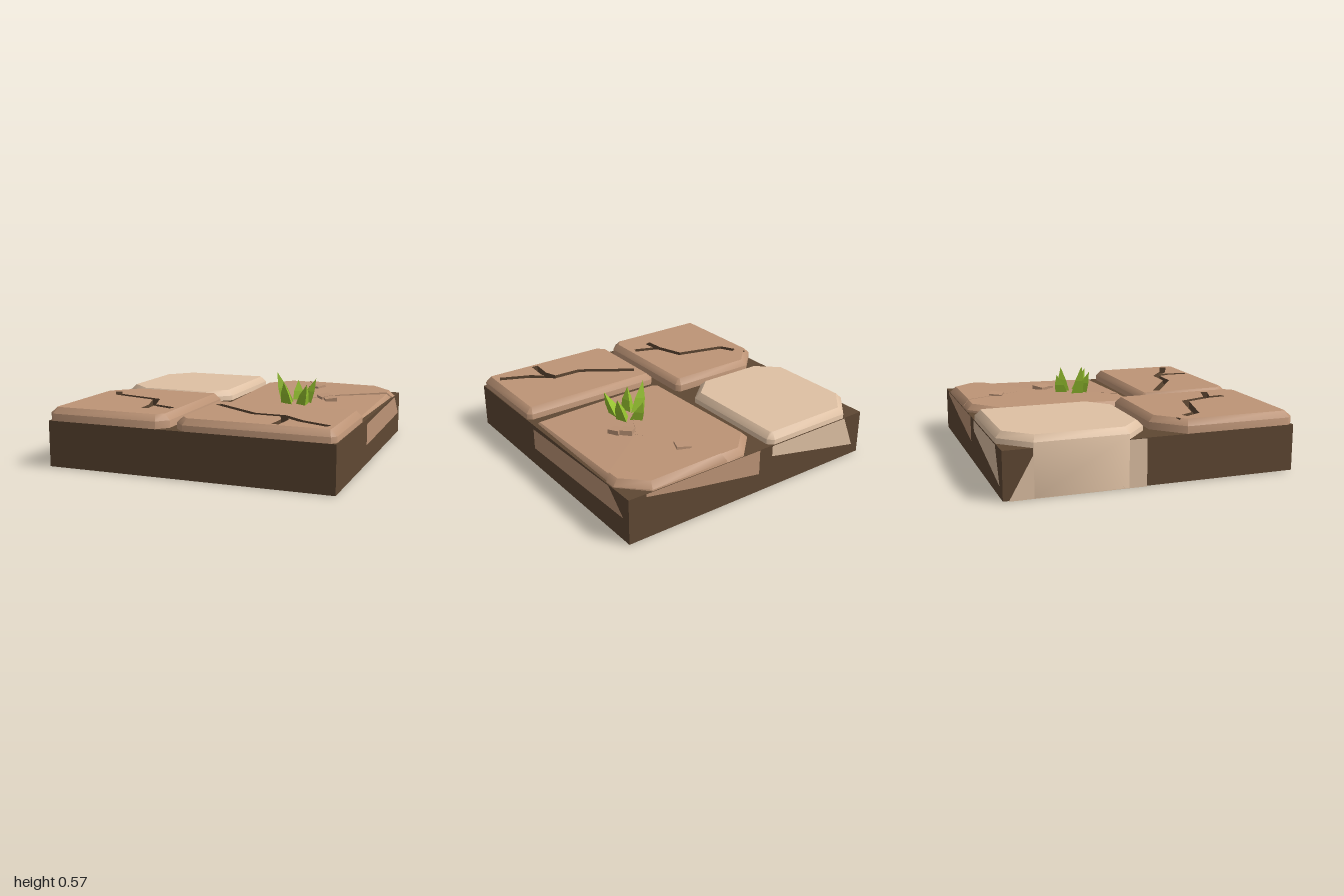
import * as THREE from 'three';
import { mergeGeometries, toCreasedNormals } from 'three/addons/utils/BufferGeometryUtils.js';

const mat = (name, color) => Object.assign(new THREE.MeshStandardMaterial({ color }), { name });

// Flat-shaded geometry from a list of triangle corners
function facets(corners) {
  const g = new THREE.BufferGeometry().setFromPoints(corners);
  g.computeVertexNormals();
  return g;
}
const quad = (a, b, c, d) => [a, b, c, a, c, d];

// Where two lines (point + direction) meet
function meet(p, d, q, e) {
  const t = ((q.x - p.x) * e.y - (q.y - p.y) * e.x) / (d.x * e.y - d.y * e.x);
  return new THREE.Vector2(p.x + d.x * t, p.y + d.y * t);
}
const leftOf = (d) => new THREE.Vector2(-d.y, d.x).normalize();
const plan = (x, z) => new THREE.Vector2(x, -z);

// Moves each edge of a counter-clockwise outline inwards by its own amount
function inset(pts, amounts) {
  const n = pts.length;
  return pts.map((p, i) => {
    const before = (i + n - 1) % n;
    const d = p.clone().sub(pts[before]);
    const e = pts[(i + 1) % n].clone().sub(p);
    return meet(p.clone().addScaledVector(leftOf(d), amounts[before]), d,
      p.clone().addScaledVector(leftOf(e), amounts[i]), e);
  });
}

// Outline of a crack, found by walking along every branch and back
function crackOutline(walk, half) {
  const n = walk.length, out = [];
  walk.forEach((p, i) => {
    const prev = walk[(i + n - 1) % n], next = walk[(i + 1) % n];
    const d = p.clone().sub(prev), e = next.clone().sub(p);
    const a = p.clone().addScaledVector(leftOf(d), -half);
    const b = p.clone().addScaledVector(leftOf(e), -half);
    if (prev.distanceTo(next) < 1e-6 || Math.abs(d.cross(e)) < 1e-4) out.push(a, b);
    else out.push(meet(a, d, b, e));
  });
  return out;
}

// Stone with a soft bevel and flat top: points are [x, z, edge bevel]; topY gives the height
function stone(points, topY, bottom, hole = null) {
  const n = points.length;
  const bevels = points.map((p) => p[2] ?? 0.04);
  const outer = points.map(([x, z]) => plan(x, z));
  const inner = inset(outer, bevels);
  const at = (p, y) => new THREE.Vector3(p.x, y, -p.y);
  const top = (p) => at(p, topY(p.x, -p.y));
  const edge = (i) => {
    const drop = Math.max(bevels[i], bevels[(i + n - 1) % n]) > 0 ? 0.04 : 0;
    return at(outer[i], topY(outer[i].x, -outer[i].y) - drop);
  };
  const sides = [], lid = [];
  outer.forEach((p, i) => {
    const j = (i + 1) % n;
    sides.push(...quad(at(p, bottom), at(outer[j], bottom), edge(j), edge(i)));
    sides.push(...quad(edge(i), edge(j), top(inner[j]), top(inner[i])));
  });
  const all = hole ? inner.concat(hole) : inner;
  for (const f of THREE.ShapeUtils.triangulateShape(inner, hole ? [hole] : [])) lid.push(...f.map((k) => top(all[k])));
  return mergeGeometries([toCreasedNormals(facets(sides), 0.9), facets(lid)]);
}

// Walls and floor of a crack
function groove(outline, y, depth) {
  const at = (p, h) => new THREE.Vector3(p.x, h, -p.y);
  const c = [];
  outline.forEach((p, i) => {
    const q = outline[(i + 1) % outline.length];
    c.push(...quad(at(q, y - depth), at(p, y - depth), at(p, y), at(q, y)));
  });
  for (const f of THREE.ShapeUtils.triangulateShape(outline, [])) c.push(...f.map((k) => at(outline[k], y - depth)));
  return facets(c);
}

// Flat face from a few corners
function plate(pts) {
  const v = pts.map((p) => new THREE.Vector3(...p)), c = [];
  for (let i = 1; i < v.length - 1; i++) c.push(v[0], v[i], v[i + 1]);
  return facets(c);
}

export function createModel() {
  const group = new THREE.Group();
  const earth = mat('dark earth', 0x5f4833);
  const brown = mat('brown stone', 0xbd9476);
  const pale = mat('pale stone', 0xdfc1a4);
  const green = mat('grass green', 0x96c22f);
  const add = (name, geometry, material) => {
    const m = new THREE.Mesh(geometry, material);
    m.name = name;
    group.add(m);
    return m;
  };

  // Earth block
  add('base', new THREE.BoxGeometry(1.992, 0.317, 1.992).translate(0, 0.1615, 0), earth);

  // Pale stone at the back, reaching down the side of the block
  add('paleStone', stone([[-1, -0.18], [-0.82, -0.02], [-0.31, -0.02], [-0.13, -0.18], [-0.13, -0.96],
    [-0.17, -0.995], [-0.82, -0.995], [-1, -0.8]], () => 0.395, 0.003), pale);

  // Two cracked stones at the front
  const cracked = [
    { name: 'frontLeftStone', y: 0.41,
      outline: [[-0.995, 0.96], [-0.96, 0.995], [-0.2, 0.995], [-0.13, 0.92], [-0.13, 0.06], [-0.16, 0.03], [-0.8, 0.03], [-0.995, 0.22]],
      trunk: [[-0.865, 0.255], [-0.81, 0.36], [-0.46, 0.45], [-0.39, 0.65]],
      branches: [[[-0.38, 0.8], [-0.415, 0.95]], [[-0.21, 0.715]]] },
    { name: 'frontRightStone', y: 0.4,
      outline: [[-0.08, 0.92], [-0.01, 0.995], [0.96, 0.995], [0.99, 0.96], [0.99, 0.3], [0.96, 0.27], [-0.05, 0.27], [-0.08, 0.3]],
      trunk: [[0, 0.42], [0.35, 0.655], [0.56, 0.66]],
      branches: [[[0.6, 0.77], [0.59, 0.93]], [[0.71, 0.78], [0.915, 0.87]]] },
  ];
  for (const s of cracked) {
    const fork = s.trunk.at(-1);
    const walk = [...s.trunk];
    for (const b of s.branches) walk.push(...b, ...b.slice(0, -1).reverse(), fork);
    walk.push(...s.trunk.slice(1, -1).reverse());
    const outline = crackOutline(walk.map((p) => plan(...p)), 0.024);
    add(s.name, stone(s.outline, () => s.y, 0.2, outline), brown);
    add(s.name + 'Crack', groove(outline, s.y, 0.05), earth);
  }
  // Crack end running out over the bevelled corner
  const crackEnd = add('crackEnd', new THREE.BoxGeometry(0.048, 0.035, 0.09), earth);
  crackEnd.position.set(-0.885, 0.392, 0.222);
  crackEnd.rotation.y = 0.48;

  // Sunken slab broken in three; edges with a zero lie along the breaks
  add('slabLeftPiece', stone([[-0.08, 0.18], [-0.06, 0.2, 0.012], [0.2, 0.2, 0], [0.54, -0.4, 0], [0.24, -0.995],
    [0.1, -0.995], [-0.08, -0.82]], (x, z) => 0.355 - 0.02 * z, 0.15), brown);
  add('slabRightPiece', stone([[0.2, 0.2, 0.012], [0.99, 0.2], [0.99, -0.74, 0], [0.54, -0.4, 0]],
    (x, z) => 0.352 - 0.02 * z - 0.03 * (x - 0.4), 0.15), brown);
  add('slabBackPiece', stone([[0.54, -0.4, 0], [0.99, -0.74], [0.99, -0.82], [0.82, -0.995], [0.24, -0.995, 0]],
    (x, z) => 0.355 - 0.02 * z - 0.015 * (x - 0.5), 0.15), brown);

  // Stone faces showing through the block
  add('slabSideFace', plate([[1, 0.14, 0.19], [1, 0.165, -0.94], [1, 0.317, -0.78], [1, 0.29, 0.19]]), brown);
  add('slabBackFace', plate([[0.87, 0.3, -1], [0.5, 0.23, -1], [-0.04, 0.14, -1], [-0.04, 0.32, -1], [0.87, 0.32, -1]]), brown);
  add('slabUnderside', plate([[0.33, 0, 0.05], [-0.08, 0, 0.2], [0, 0, -0.83], [0.35, 0, -0.62], [0.56, 0, -0.41]]), brown);
  add('paleUnderside', plate([[-0.2, 0, -0.04], [-0.89, 0, -0.63], [-0.97, 0, -0.97], [-0.45, 0, -0.7]]), pale);
  add('paleSideFace', plate([[-1, 0, -0.96], [-1, 0, -0.06], [-1, 0.317, -0.06], [-1, 0.317, -0.78]]), pale);
  add('paleBackFace', plate([[-0.15, 0.317, -1], [-0.15, 0.24, -1], [-0.93, 0.08, -1], [-0.83, 0.317, -1]]), pale);

  // Loose rubble
  for (const [x, z, size, y, turn] of [[0.39, -0.72, 0.095, 0.367, -0.4], [0.56, -0.33, 0.09, 0.363, 0.7], [0.615, -0.275, 0.085, 0.358, 0.45]]) {
    const r = add('rubble', new THREE.BoxGeometry(size, 0.035, size), brown);
    r.position.set(x, y, z);
    r.rotation.set(0.08, turn, 0.08);
  }

  // Grass tuft: three-sided blades, full at the middle and leaning to their tips
  const blades = [[0.335, -0.11, 0.262, 0.572, -0.085, 0.5], [0.365, -0.045, 0.34, 0.51, 0, -0.3], [0.47, -0.05, 0.52, 0.505, 0.022, -0.5],
    [0.47, -0.15, 0.535, 0.525, -0.17, -0.2], [0.4, -0.2, 0.375, 0.495, -0.25, 0.2]];
  for (const [x, z, tx, ty, tz, turn] of blades) {
    const h = ty - 0.34;
    const g = new THREE.ConeGeometry(0.055, h, 3, 2).rotateY(Math.PI + turn).translate(0, h / 2, 0).toNonIndexed();
    const p = g.attributes.position;
    for (let k = 0; k < p.count; k++) {
      const t = p.getY(k) / h;
      const full = Math.abs(t - 0.5) < 0.01 ? 1.45 : 1;
      p.setXYZ(k, p.getX(k) * full + x + (tx - x) * t, p.getY(k) + 0.34, p.getZ(k) * full + z + (tz - z) * t);
    }
    g.computeVertexNormals();
    add('grassBlade', g, green);
  }
  return group;
}
